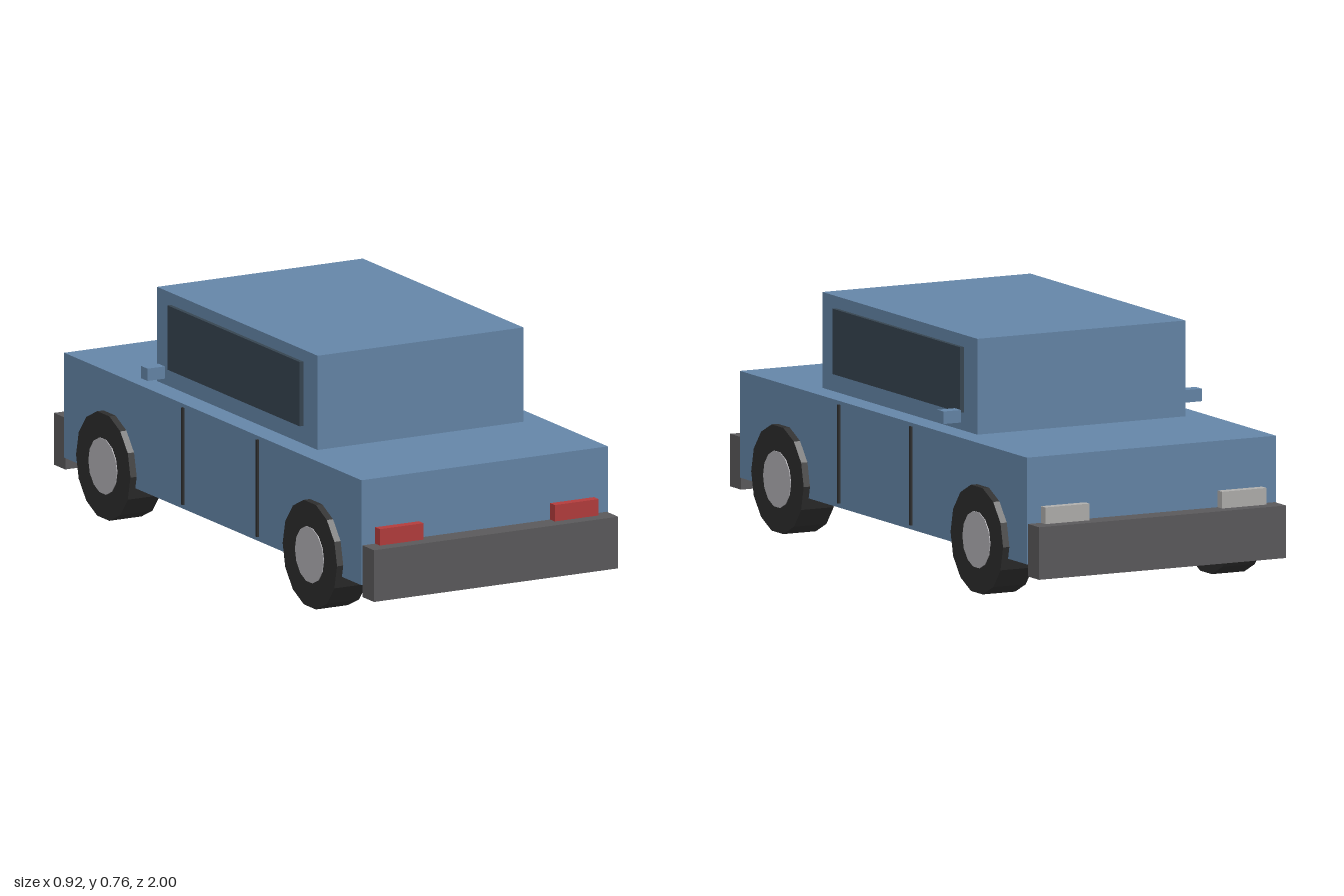
import * as THREE from 'three';

const mat = (name, color) => {
  const m = new THREE.MeshStandardMaterial({ color, flatShading: true });
  m.name = name;
  return m;
};

export function createModel() {
  const car = new THREE.Group();
  car.name = 'car';

  const paint = mat('blue paint', 0x6485a7);
  const glass = mat('dark glass', 0x364450);
  const bumperGrey = mat('bumper grey', 0x5a595b);
  const rubber = mat('black rubber', 0x2d2d2d);
  const metal = mat('light metal', 0xb1afb4);
  const headGlass = mat('headlight white', 0xb0aeac);
  const red = mat('tail light red', 0xb33c3c);

  // Box given by its extents on each axis
  const box = (name, material, [x0, x1], [y0, y1], [z0, z1]) => {
    const mesh = new THREE.Mesh(new THREE.BoxGeometry(x1 - x0, y1 - y0, z1 - z0), material);
    mesh.position.set((x0 + x1) / 2, (y0 + y1) / 2, (z0 + z1) / 2);
    mesh.name = name;
    car.add(mesh);
  };
  // Extents mirrored to the given side
  const span = (side, a, b) => (side > 0 ? [a, b] : [-b, -a]);

  // Body and cabin
  box('body', paint, [-0.436, 0.436], [0.128, 0.461], [-0.928, 0.928]);
  box('cabin', paint, [-0.364, 0.364], [0.461, 0.76], [-0.475, 0.528]);

  // Bumpers and lamps at both ends
  for (const end of [1, -1]) {
    box(end > 0 ? 'rearBumper' : 'frontBumper', bumperGrey,
      [-0.432, 0.432], [0.09, 0.254], span(end, 0.928, 1));
    for (const side of [1, -1]) {
      box(end > 0 ? 'tailLight' : 'headlight', end > 0 ? red : headGlass,
        span(side, 0.232, 0.387), [0.254, 0.306], span(end, 0.92, 0.957));
    }
  }

  for (const side of [1, -1]) {
    // Side window, mirror and door seams
    box('sideWindow', glass, span(side, 0.36, 0.377), [0.518, 0.722], [-0.388, 0.438]);
    box('mirror', paint, span(side, 0.391, 0.452), [0.493, 0.532], [-0.419, -0.379]);
    for (const z of [-0.182, 0.284]) {
      box('doorSeam', rubber, span(side, 0.43, 0.443), [0.142, 0.45], [z - 0.005, z + 0.005]);
    }

    // Wheels, with the hub running through the tyre
    for (const z of [-0.645, 0.645]) {
      const wheel = new THREE.Group();
      wheel.name = 'wheel';
      const tyre = new THREE.Mesh(new THREE.CylinderGeometry(0.17, 0.17, 0.114, 14), rubber);
      tyre.name = 'tyre';
      const hub = new THREE.Mesh(new THREE.CylinderGeometry(0.089, 0.089, 0.119, 14), metal);
      hub.name = 'hub';
      wheel.add(tyre, hub);
      wheel.rotation.z = Math.PI / 2;
      wheel.position.set(side * 0.401, 0.166, z);
      car.add(wheel);
    }
  }

  return car;
}
